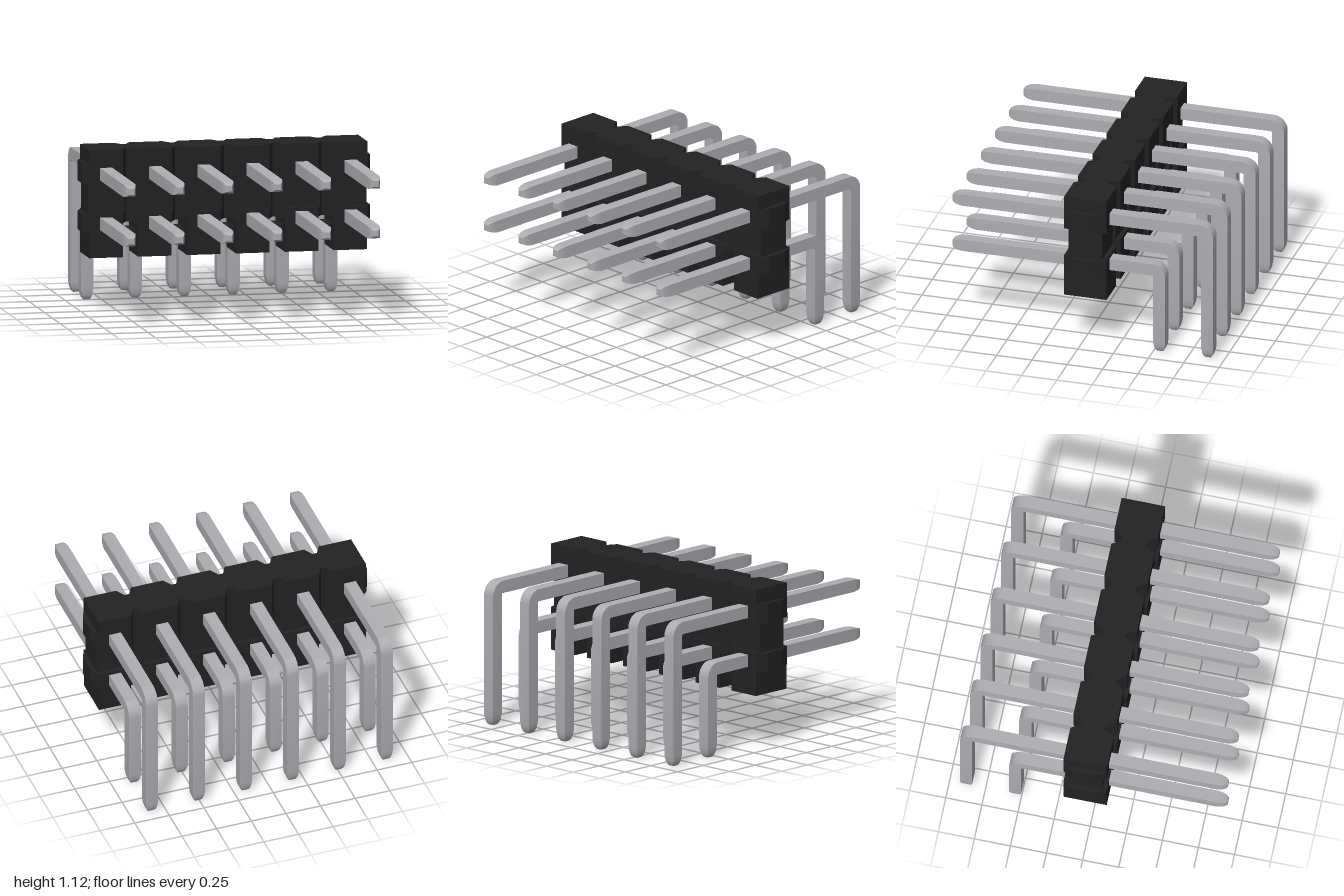
import * as THREE from 'three';
import { toCreasedNormals } from 'three/addons/utils/BufferGeometryUtils.js';

const CELLS = 6, PITCH = 0.339, MID_Z = -0.043;
const END_X = 0.965, PIN = 0.0425, BEND = 0.055;
const cellX = (i) => (i - (CELLS - 1) / 2) * PITCH;

// Square pin swept along a horizontal run, a bend and a downward leg, with tapered tips
function pinGeometry(y, legZ) {
  const taper = [[0, 0.02], [0.012, 0.029], [0.035, 0.037], [0.075, PIN]];
  const rings = taper.map(([t, h]) => ({ y, z: 0.925 - t, a: 0, h }));
  for (let i = 0; i <= 8; i++) {
    const a = (i / 8) * Math.PI / 2;
    rings.push({
      y: y - BEND + BEND * Math.cos(a),
      z: legZ + BEND - BEND * Math.sin(a), a, h: PIN,
    });
  }
  [...taper].reverse().forEach(([t, h]) => rings.push({ y: t, z: legZ, a: Math.PI / 2, h }));

  const pos = [], index = [];
  const corners = [[1, 1], [-1, 1], [-1, -1], [1, -1]];
  rings.forEach((r, i) => {
    for (const [u, v] of corners) {
      pos.push(u * r.h, r.y + v * r.h * Math.cos(r.a), r.z - v * r.h * Math.sin(r.a));
    }
    if (i === rings.length - 1) return;
    for (let k = 0; k < 4; k++) {
      const a = i * 4 + k, b = i * 4 + (k + 1) % 4;
      index.push(a, a + 4, b, b, a + 4, b + 4);
    }
  });
  const e = (rings.length - 1) * 4;
  index.push(0, 1, 2, 0, 2, 3, e, e + 2, e + 1, e, e + 3, e + 2);
  const geo = new THREE.BufferGeometry();
  geo.setAttribute('position', new THREE.Float32BufferAttribute(pos, 3));
  geo.setIndex(index);
  return toCreasedNormals(geo, 0.6);
}

// Plan outline (x, z) extruded between two heights
function slab(points, y0, y1) {
  const shape = new THREE.Shape(points.map(([x, z]) => new THREE.Vector2(x, z)));
  const geo = new THREE.ExtrudeGeometry(shape, { depth: y1 - y0, bevelEnabled: false });
  return geo.rotateX(Math.PI / 2).translate(0, y1, MID_Z);
}

// Row of cells joined by notched webs; d is half the depth, w half a cell's face width
function notchedOutline(d, w) {
  const front = [];
  for (let i = 0; i < CELLS; i++) {
    const x = cellX(i), seam = x + PITCH / 2;
    front.push([i === 0 ? -END_X : x - w, d]);
    front.push([i === CELLS - 1 ? END_X : x + w, d]);
    if (i < CELLS - 1) front.push([seam - 0.017, 0.085], [seam + 0.017, 0.085]);
  }
  return [...front, ...front.map(([x, z]) => [x, -z]).reverse()];
}

export function createModel() {
  const model = new THREE.Group();
  const plastic = new THREE.MeshStandardMaterial({ color: 0x222222 });
  plastic.name = 'black plastic';
  const metal = new THREE.MeshStandardMaterial({ color: 0xadadb2 });
  metal.name = 'grey metal';

  const add = (parent, name, geo, mat, x = 0, y = 0, z = 0) => {
    const mesh = new THREE.Mesh(geo, mat);
    mesh.name = name;
    mesh.position.set(x, y, z);
    parent.add(mesh);
  };

  // Plastic housing: top rail, recessed waist and lower rail
  const housing = new THREE.Group();
  housing.name = 'housing';
  model.add(housing);
  const full = notchedOutline(0.15, 0.117);
  add(housing, 'upperRail', slab(full, 0.88, 1.12), plastic);
  add(housing, 'waist', slab(notchedOutline(0.118, 0.133), 0.68, 0.88), plastic);
  add(housing, 'lowerRail', slab(full, 0.615, 0.68), plastic);

  // Separate feet under each cell, tied by a thin bar
  const foot = new THREE.BoxGeometry(0.232, 0.235, 0.3);
  for (let i = 0; i < CELLS; i++) {
    add(housing, 'foot', foot, plastic, cellX(i), 0.4975, MID_Z);
  }
  add(housing, 'tieBar', new THREE.BoxGeometry(1.7, 0.08, 0.17), plastic, 0, 0.52, MID_Z);

  // Chamfered bumps on both ends
  for (const s of [-1, 1]) {
    const bump = [[s * 0.96, 0.15], [s * END_X, 0.15], [s, 0.07],
      [s, -0.07], [s * END_X, -0.15], [s * 0.96, -0.15]];
    add(housing, 'endBump', slab(bump, 0.885, 1.02), plastic);
    add(housing, 'endBump', slab(bump, 0.55, 0.675), plastic);
  }

  // Two rows of right-angle pins
  const rows = [['upperPin', pinGeometry(0.955, -0.8825)], ['lowerPin', pinGeometry(0.614, -0.543)]];
  for (const [name, geo] of rows) {
    for (let i = 0; i < CELLS; i++) add(model, name, geo, metal, cellX(i));
  }
  return model;
}
